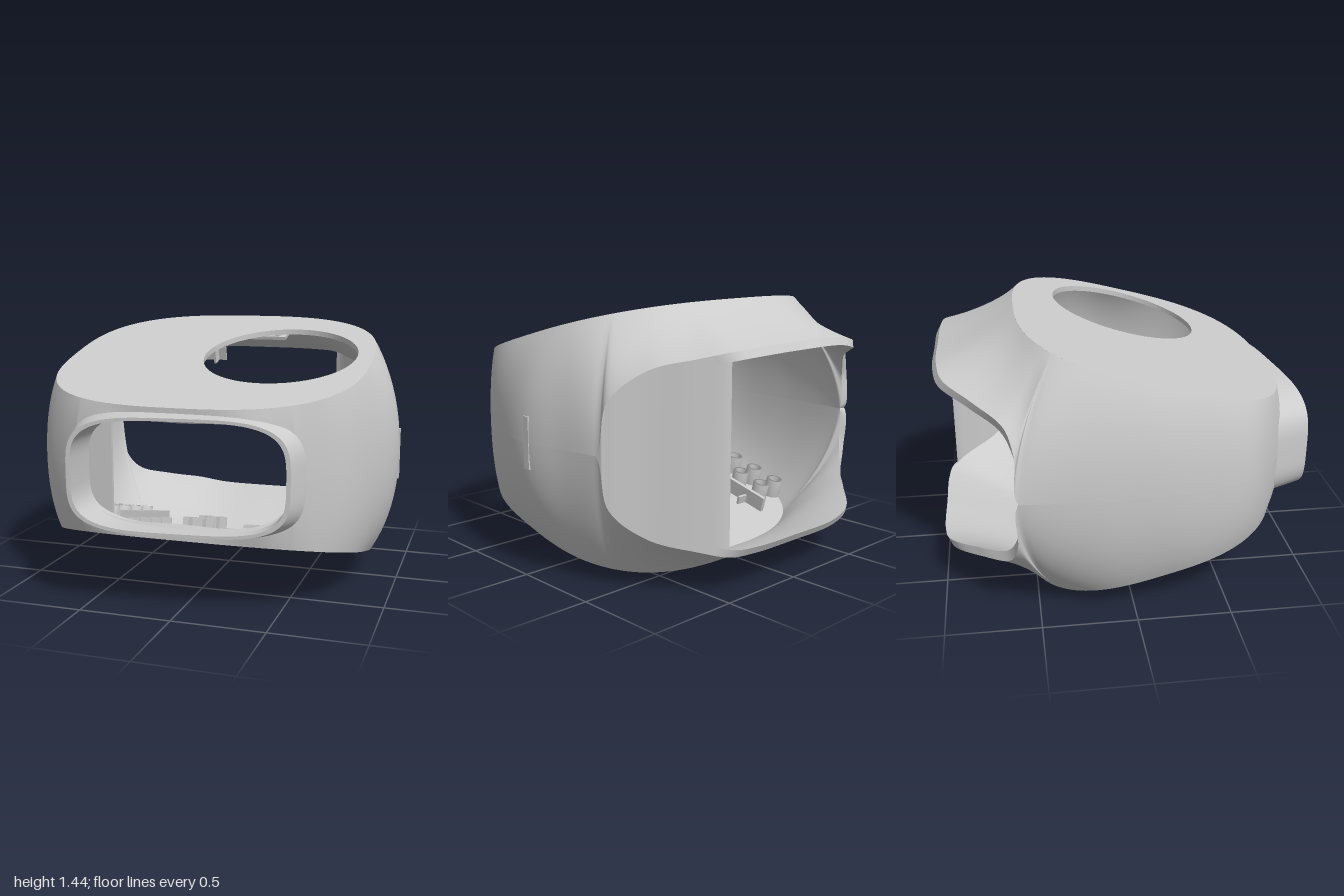
import * as THREE from 'three';
import { mergeVertices } from 'three/addons/utils/BufferGeometryUtils.js';

const MID = 0.72, CX = -0.02, CZ = 0.155, SLOPE = 0.2657, PER_KEY = 10;
const mat = new THREE.MeshStandardMaterial({ color: 0xcccccc, side: THREE.DoubleSide });
const half = z => MID - (z + 0.56) * SLOPE; // half height of the wedge at depth z

function mesh(name, geometry) {
  const m = new THREE.Mesh(geometry, mat);
  m.name = name;
  return m;
}

// Smooth skin through rows of points
function skin(rows, closed) {
  const pos = [], index = [], n = rows[0].length;
  rows.forEach(r => r.forEach(p => pos.push(p.x, p.y, p.z)));
  const last = closed ? rows.length : rows.length - 1;
  for (let i = 0; i < last; i++) for (let j = 0; j < n - 1; j++) {
    const a = i * n + j, b = ((i + 1) % rows.length) * n + j;
    index.push(a, a + 1, b, b, a + 1, b + 1);
  }
  let g = new THREE.BufferGeometry();
  g.setAttribute('position', new THREE.Float32BufferAttribute(pos, 3));
  g.setIndex(index);
  g = mergeVertices(g, 1e-4);
  g.computeVertexNormals();
  return g;
}

// Where the upper half of the wall ends: front rim, side midline, back rim (x, height over midline, z)
const keys = [
  [0, .3, .87], [.4, .29, .85], [.56, .2, .8], [.61, 0, .78],
  [.8, 0, .6], [.93, 0, .3], [.99, 0, 0], [.945, 0, -.27], [.91, 0, -.48],
  [.88, .27, -.54], [.74, .42, -.67], [.57, .48, -.85], [.45, .51, -.95], [.3, .52, -.975], [0, .525, -.978],
  [-.36, .52, -.975], [-.53, .49, -.94], [-.72, .44, -.79], [-.89, .37, -.645], [-.965, .25, -.605], [-.98, 0, -.59],
  [-.995, 0, -.35], [-1, 0, -.1], [-.97, 0, .3], [-.86, 0, .62], [-.61, 0, .82],
  [-.56, .2, .83], [-.4, .29, .855]
].map(k => new THREE.Vector3(...k));
const edgeCurve = new THREE.CatmullRomCurve3(keys, true);
const COUNT = keys.length * PER_KEY;
const edge = Array.from({ length: COUNT }, (_, i) => edgeCurve.getPoint(i / COUNT));

// How strongly the wall follows the rims, eased along the outline
const EASE = 18;
const pull = edge.map((_, i) => {
  let sum = 0;
  for (let d = -EASE; d <= EASE; d++)
    sum += THREE.MathUtils.smoothstep(edge[(i + d + COUNT) % COUNT].y, 0, 0.4) * (EASE + 1 - Math.abs(d));
  return sum / (EASE + 1) ** 2;
});

// Outline of the flat top and bottom, met in the direction of a point
function plateEdge(x, z, scale = 1) {
  const u = (x - CX) / 0.87, v = (z - CZ) / 0.715, n = 2.8;
  const k = scale / Math.pow(Math.abs(u) ** n + Math.abs(v) ** n, 1 / n);
  return [CX + u * k * 0.87, CZ + v * k * 0.715];
}

// Wall end point and plate point number i, on the outer or the inner skin;
// the inner skin reaches further back, so that the back rim is bevelled
function ends(i, inner) {
  const e = edge[i], s = inner ? 0.96 : 1;
  const sz = inner && e.z < 0 ? THREE.MathUtils.lerp(0.96, 1.02, pull[i]) : s;
  const [px, pz] = plateEdge(e.x, e.z, s);
  const y = Math.max(0, e.y - (inner ? 0.04 : 0));
  return {
    E: new THREE.Vector3(CX + (e.x - CX) * s, y, CZ + (e.z - CZ) * sz),
    P: new THREE.Vector3(px, half(pz) - (inner ? 0.03 : 0), pz)
  };
}

// Bulging at the sides, hollow towards the back rim
function section(i, inner) {
  const { E, P } = ends(i, inner), w = pull[i];
  const C = P.clone().lerp(E, 1 - 0.55 * w);
  C.y = THREE.MathUtils.lerp(P.y, E.y, 0.4 + 0.24 * w);
  return new THREE.QuadraticBezierCurve3(P, C, E).getPoints(14);
}

const at = (p, s) => new THREE.Vector3(p.x, MID + s * p.y, p.z);
const around = f => edge.map((_, i) => f(i));
const halfWall = (inner, s) => skin(around(i => section(i, inner).map(p => at(p, s))), true);

// Flat sloping plate with a round hole
function plate(s) {
  const pts = [];
  for (let i = 0; i < 120; i++) {
    const a = i / 120 * Math.PI * 2;
    pts.push(new THREE.Vector2(...plateEdge(CX + Math.cos(a) * 0.87, CZ + Math.sin(a) * 0.715)));
  }
  const shape = new THREE.Shape(pts);
  shape.holes.push(new THREE.Path().absellipse(0.33, 0.1, 0.43, 0.417, 0, Math.PI * 2, true));
  const g = new THREE.ExtrudeGeometry(shape, { depth: 0.03, bevelEnabled: false, curveSegments: 40 });
  const p = g.attributes.position;
  for (let i = 0; i < p.count; i++) {
    const z = p.getY(i);
    p.setXYZ(i, p.getX(i), MID + s * (half(z) - p.getZ(i)), z);
  }
  if (s < 0) for (let i = 0; i < p.count; i += 3) { // restore outward winding
    const a = new THREE.Vector3().fromBufferAttribute(p, i), b = new THREE.Vector3().fromBufferAttribute(p, i + 1);
    p.setXYZ(i, b.x, b.y, b.z);
    p.setXYZ(i + 1, a.x, a.y, a.z);
  }
  g.computeVertexNormals();
  return g;
}

// One ring of the front collar
function ring(cx, a, b, zAt) {
  return Array.from({ length: 97 }, (_, i) => {
    const t = i / 96 * Math.PI * 2, c = Math.cos(t), s = Math.sin(t), e = 0.53;
    const x = cx + Math.sign(c) * Math.abs(c) ** e * a;
    return new THREE.Vector3(x, MID + Math.sign(s) * Math.abs(s) ** e * b, zAt(x));
  });
}

// Fittings on the inside of the bottom plate
function fittings() {
  const g = new THREE.Group();
  g.name = 'fittings';
  const put = (m, x, z, lift = 0) => {
    m.position.set(x, MID - half(z) + 0.03 + lift, z);
    m.rotation.x = -Math.atan(SLOPE);
    g.add(m);
  };
  const box = (w, h, d) => new THREE.BoxGeometry(w, h, d);
  // mounting plates with four holes
  const s = new THREE.Shape([[-.13, -.09], [.13, -.09], [.13, .09], [-.13, .09]].map(p => new THREE.Vector2(...p)));
  for (const x of [-.07, .07]) for (const y of [-.045, .045])
    s.holes.push(new THREE.Path().absarc(x, y, 0.03, 0, Math.PI * 2, true));
  const tab = new THREE.ExtrudeGeometry(s, { depth: 0.02, bevelEnabled: false }).rotateX(Math.PI / 2);
  for (const z of [-.42, .62]) put(mesh('mountingPlate', tab), 0.12, z, 0.04);
  // crossed ribs beside the hole
  for (const [x, z] of [[-.14, -.1], [-.05, .42]]) {
    for (const d of [-.04, .04]) put(mesh('crossRib', box(0.012, 0.09, 0.14)), x + d, z, 0.04);
    put(mesh('crossRib', box(0.18, 0.09, 0.012)), x, z, 0.04);
  }
  // ribbed beam and hollow pegs
  put(mesh('beam', box(0.025, 0.1, 0.8)), -0.53, 0.05, 0.04);
  const peg = new THREE.LatheGeometry([[.05, 0], [.05, .11], [.032, .11], [.032, 0]].map(p => new THREE.Vector2(...p)), 20);
  for (let i = 0; i < 4; i++) {
    const z = -0.2 + i * 0.17;
    put(mesh('beamRib', box(0.07, 0.06, 0.015)), -0.485, z, 0.02);
    for (const x of [-.64, -.77]) put(mesh('peg', peg), x, z);
  }
  return g;
}

export function createModel() {
  const group = new THREE.Group();
  for (const s of [1, -1]) {
    const n = s > 0 ? 'upper' : 'lower';
    group.add(mesh(n + 'OuterWall', halfWall(false, s)));
    group.add(mesh(n + 'InnerWall', halfWall(true, s)));
    group.add(mesh(n + 'Plate', plate(s)));
    group.add(mesh(n + 'RimLip', skin(around(i => [at(ends(i, false).E, s), at(ends(i, true).E, s)]), true)));
  }

  // flat panel closing the back corner on the left
  const panel = edge.slice(8 * PER_KEY, 12 * PER_KEY + 1).map(p => [at(p, 1), at(p, -1)]);
  group.add(mesh('cornerPanel', skin(panel, false)));

  // slanted collar around the front opening
  const tip = x => 0.942 - 0.1 * x, base = x => 0.86 - 0.2 * x * x;
  const rings = [
    ring(0, .635, .315, base), ring(.015, .57, .3, tip),
    ring(.015, .548, .284, tip), ring(.01, .54, .28, x => base(x) - 0.05)
  ];
  ['collarOutside', 'collarLip', 'collarInside'].forEach((n, i) =>
    group.add(mesh(n, skin([rings[i], rings[i + 1]], false))));

  // upright flange at the back of the collar
  const flange = mesh('collarFlange', new THREE.BoxGeometry(0.14, 0.56, 0.02));
  flange.position.set(-0.47, MID, 0.77);
  group.add(flange);

  // narrow slot cover on the left side
  const slot = mesh('sideSlot', new THREE.BoxGeometry(0.02, 0.28, 0.04));
  slot.position.set(0.982, MID, -0.02);
  group.add(slot);

  // fittings on the floor, mirrored to the ceiling
  const floor = fittings(), ceiling = fittings();
  ceiling.scale.y = -1;
  ceiling.position.y = 2 * MID;
  group.add(floor, ceiling);
  return group;
}
